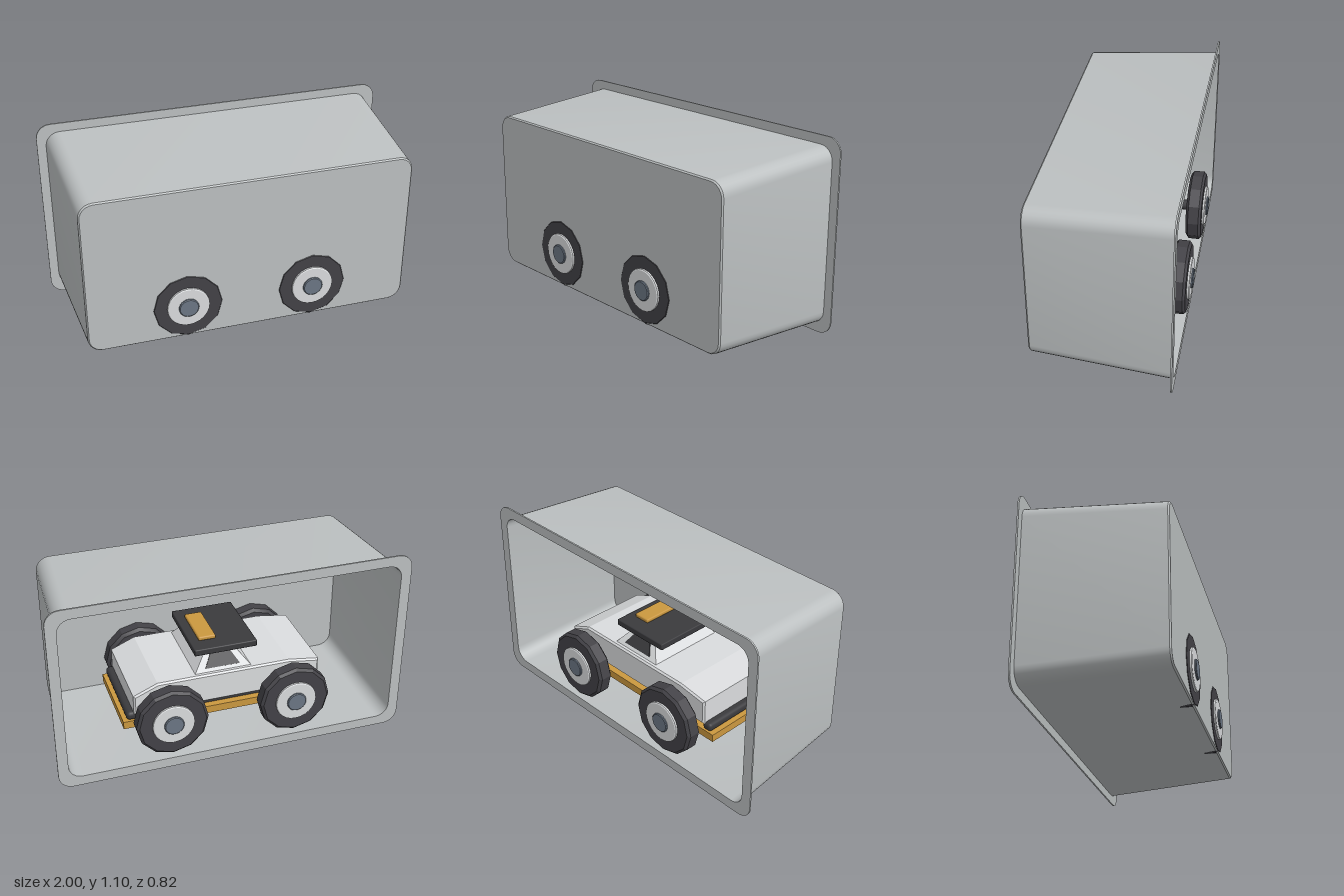
import * as THREE from 'three';
import { toCreasedNormals } from 'three/addons/utils/BufferGeometryUtils.js';
import { RoundedBoxGeometry } from 'three/addons/geometries/RoundedBoxGeometry.js';

const makeMaterial = (name, color) => {
  const m = new THREE.MeshStandardMaterial({ color });
  m.name = name;
  return m;
};

// Rounded rectangle loop, counter-clockwise seen from +z
function loop([hw, hh, r, z], cy, steps = 6) {
  const pts = [];
  [[1, 1], [-1, 1], [-1, -1], [1, -1]].forEach(([sx, sy], q) => {
    for (let i = 0; i <= steps; i++) {
      const a = (q + i / steps) * Math.PI / 2;
      pts.push([sx * (hw - r) + r * Math.cos(a), cy + sy * (hh - r) + r * Math.sin(a), z]);
    }
  });
  return pts;
}

// Skin through successive loops
function loft(rings, cy) {
  const loops = rings.map((r) => loop(r, cy));
  const n = loops[0].length;
  const pos = [], index = [];
  loops.forEach((l) => l.forEach((p) => pos.push(...p)));
  for (let k = 0; k < loops.length - 1; k++) {
    for (let i = 0; i < n; i++) {
      const a = k * n + i, b = k * n + (i + 1) % n;
      index.push(a, b, b + n, a, b + n, a + n);
    }
  }
  const g = new THREE.BufferGeometry();
  g.setAttribute('position', new THREE.Float32BufferAttribute(pos, 3));
  g.setIndex(index);
  return toCreasedNormals(g, 0.35);
}

// Lathe turned so that its axis lies along z
function turned(points, segments) {
  const g = new THREE.LatheGeometry(points.map(([r, z]) => new THREE.Vector2(r, z)), segments);
  g.rotateX(Math.PI / 2);
  g.deleteAttribute('normal');
  g.deleteAttribute('uv');
  return toCreasedNormals(g, 0.35);
}

export function createModel() {
  const tubGrey = makeMaterial('tub grey', 0xbcc0c1);
  const paleGrey = makeMaterial('pale grey', 0xdadcde);
  const rubber = makeMaterial('rubber black', 0x434247);
  const trim = makeMaterial('trim black', 0x3a3a3d);
  const orange = makeMaterial('ochre', 0xcb983f);
  const steel = makeMaterial('blue steel', 0x6b7684);

  const model = new THREE.Group();
  model.name = 'carInTub';
  const add = (parent, name, geometry, material, x = 0, y = 0, z = 0) => {
    const mesh = new THREE.Mesh(geometry, material);
    mesh.name = name;
    mesh.position.set(x, y, z);
    parent.add(mesh);
    return mesh;
  };

  // Open tub: inner floor, inner wall, flange, outer wall, outer floor
  add(model, 'tub', loft([
    [0, 0, 0, 0.377],
    [0.902, 0.449, 0.075, 0.377],
    [0.942, 0.492, 0.075, -0.385],
    [1, 0.55, 0.08, -0.385],
    [1, 0.55, 0.08, -0.376],
    [0.95, 0.5, 0.08, -0.376],
    [0.91, 0.458, 0.08, 0.377],
    [0.903, 0.451, 0.075, 0.385],
    [0, 0, 0, 0.385],
  ], 0.55), tubGrey);

  const car = new THREE.Group();
  car.name = 'car';
  model.add(car);

  // Wheels
  const tyreGeo = turned([[0, -0.09], [0.185, -0.09], [0.204, -0.075], [0.204, -0.014], [0.189, 0], [0, 0]], 12);
  const hubGeo = turned([[0.118, -0.005], [0.118, 0.01], [0.112, 0.014], [0, 0.014]], 24);
  const capGeo = turned([[0.056, 0.01], [0.056, 0.02], [0.051, 0.024], [0, 0.024]], 24);
  for (const x of [-0.355, 0.355]) {
    for (const side of [1, -1]) {
      const wheel = new THREE.Group();
      wheel.name = 'wheel';
      wheel.position.set(x, 0.29, side * 0.388);
      if (side < 0) wheel.rotation.y = Math.PI;
      add(wheel, 'tyre', tyreGeo, rubber);
      add(wheel, 'hub', hubGeo, paleGrey);
      add(wheel, 'hubCap', capGeo, steel);
      car.add(wheel);
    }
    const axle = new THREE.CylinderGeometry(0.03, 0.03, 0.62, 12);
    add(car, 'axle', axle.rotateX(Math.PI / 2), trim, x, 0.285, 0);
  }

  // Chassis plate, skid tray and end bumpers
  add(car, 'chassisPlate', new THREE.BoxGeometry(1.2, 0.045, 0.5), orange, 0, 0.235, 0);
  add(car, 'skidTray', new THREE.BoxGeometry(0.98, 0.025, 0.38), trim, 0, 0.2, 0);
  for (const s of [-1, 1]) {
    add(car, 'bumper', new RoundedBoxGeometry(0.06, 0.05, 0.5, 2, 0.02), trim, s * 0.55, 0.285, 0);
  }

  // Body with sloped ends
  const profile = new THREE.Shape([
    [-0.53, 0.31], [0.53, 0.31], [0.53, 0.41], [0.4, 0.465], [-0.36, 0.465], [-0.53, 0.44],
  ].map(([x, y]) => new THREE.Vector2(x, y)));
  const body = new THREE.ExtrudeGeometry(profile, {
    depth: 0.5, bevelEnabled: true, bevelSize: 0.01, bevelThickness: 0.01, bevelSegments: 1,
  });
  add(car, 'body', body, paleGrey, 0, 0, -0.25);
  add(car, 'underbody', new THREE.BoxGeometry(0.96, 0.06, 0.42), trim, 0, 0.28, 0);

  // Cabin narrowing towards the roof
  const cabin = new THREE.BoxGeometry(1, 1, 1).toNonIndexed();
  const p = cabin.attributes.position;
  for (let i = 0; i < p.count; i++) {
    const top = p.getY(i) > 0;
    p.setXYZ(i, p.getX(i) * (top ? 0.14 : 0.34), top ? 0.59 : 0.465, p.getZ(i) * (top ? 0.3 : 0.48));
  }
  cabin.computeVertexNormals();
  add(car, 'cabin', cabin, paleGrey, 0.02, 0, 0);

  // Side windows lying on the sloped cabin sides
  const windowShape = new THREE.Shape([
    [-0.1, -0.045], [0.1, -0.045], [0.05, 0.05], [-0.05, 0.05],
  ].map(([x, y]) => new THREE.Vector2(x, y)));
  const windowGeo = new THREE.ExtrudeGeometry(windowShape, { depth: 0.006, bevelEnabled: false });
  for (const s of [-1, 1]) {
    const pivot = new THREE.Group();
    pivot.name = 'sideWindow';
    pivot.position.set(0.02, 0.5275, s * 0.195);
    if (s < 0) pivot.rotation.y = Math.PI;
    add(pivot, 'windowPane', windowGeo, trim).rotation.x = -Math.atan2(0.09, 0.125);
    car.add(pivot);
  }

  // Roof slab and its raised strip
  add(car, 'roof', new RoundedBoxGeometry(0.36, 0.038, 0.45, 1, 0.006), trim, 0, 0.603, 0);
  add(car, 'roofStrip', new RoundedBoxGeometry(0.1, 0.024, 0.27, 1, 0.008), orange, 0.08, 0.632, 0);

  return model;
}
